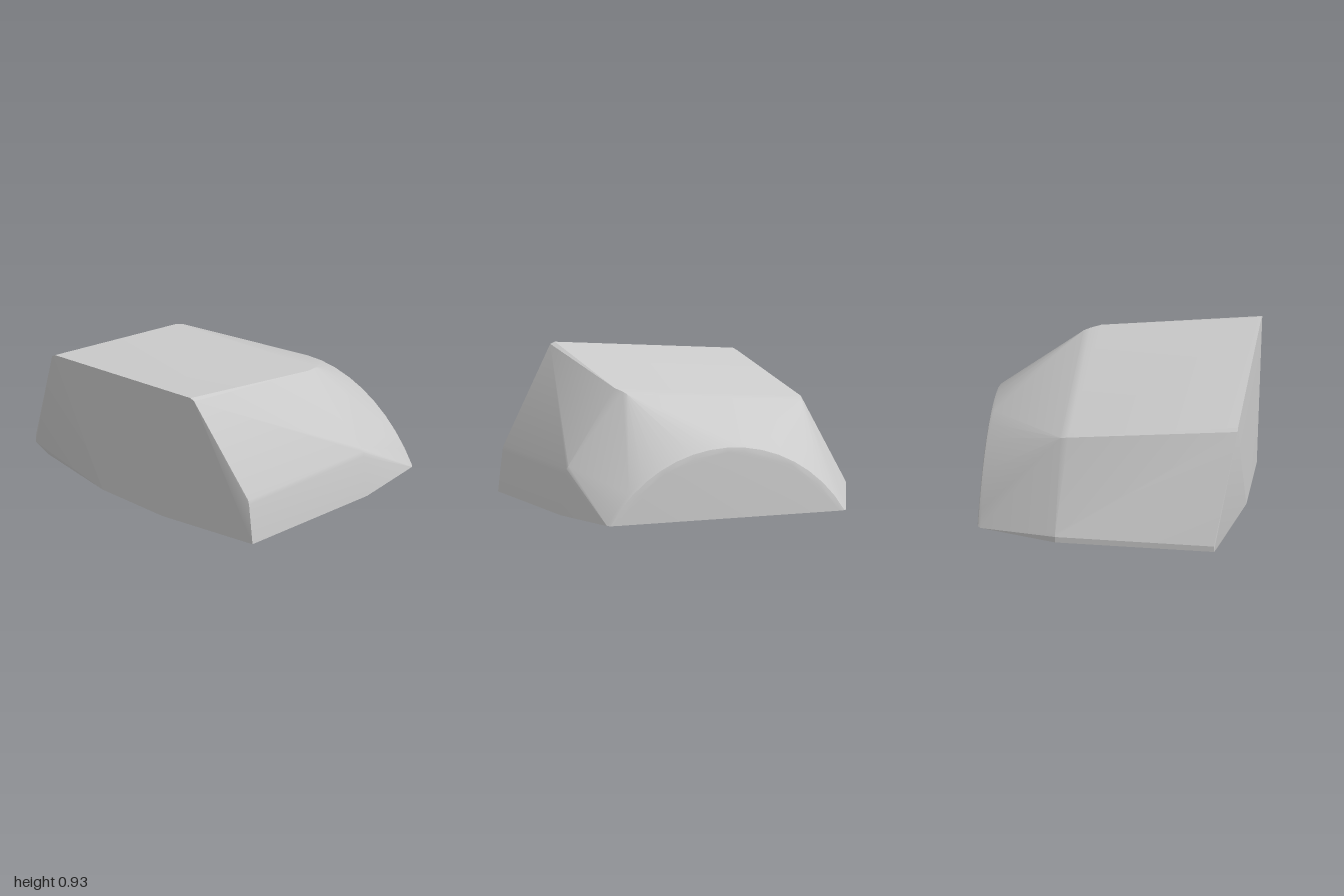
import * as THREE from 'three';
import { ConvexGeometry } from 'three/addons/geometries/ConvexGeometry.js';
import { toCreasedNormals } from 'three/addons/utils/BufferGeometryUtils.js';

export function createModel() {
  const group = new THREE.Group();
  const points = [];
  const add = (x, y, z) => points.push(new THREE.Vector3(x, y, z));

  // flat end wall at -x: short foot, wide sloping top edge
  add(-0.845, 0, 0.29);
  add(-0.845, 0, -0.26);
  add(-0.845, 0.92, 0.583);
  add(-0.845, 0.932, 0.55);
  add(-0.845, 0.812, -0.7);
  add(-0.845, 0.795, -0.727);

  // far edge of the sloping top, with softened corners
  add(0.2, 0.788, 0.575);
  add(0.27, 0.775, 0.55);
  add(0.31, 0.762, 0.535);
  add(0.26, 0.665, -0.705);
  add(0.31, 0.65, -0.69);

  // front and back lower sides, each an edge section repeated at both ends
  const sections = [[0, 1], [0.27, 0.968], [0.3, 0.96], [0.32, 0.947],
    [0, -0.88], [0.05, -1], [0.09, -1], [0.11, -0.99]];
  for (const [y, z] of sections) {
    add(-0.725, y, z);
    add(0.31, y, z);
  }

  // arched end wall at +x with a rounded rim
  const rim = [[0.82, 0.975], [0.838, 0.96], [0.845, 0.93]];
  const centreY = -0.498, centreZ = 0.055;
  for (const [x, radius] of rim) {
    const half = Math.acos(-centreY / radius);
    for (let i = 0; i <= 16; i++) {
      const a = -half + (2 * half * i) / 16;
      add(x, Math.max(0, centreY + radius * Math.cos(a)), centreZ + radius * Math.sin(a));
    }
  }

  const geometry = toCreasedNormals(new ConvexGeometry(points), 0.35);
  const body = new THREE.Mesh(geometry, new THREE.MeshStandardMaterial({ color: 0xcccccc }));
  body.name = 'facetedBody';
  group.add(body);
  return group;
}
